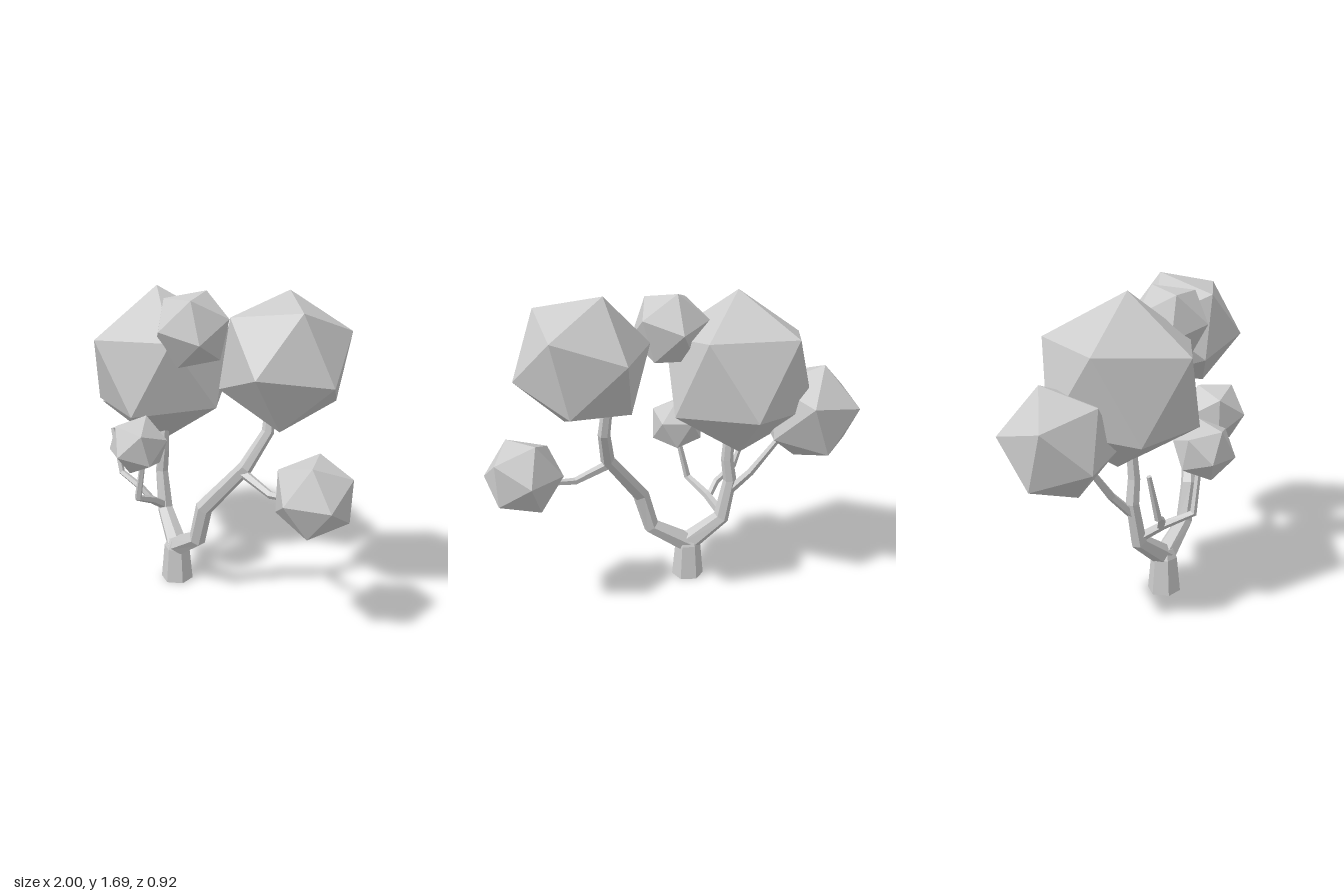
import * as THREE from 'three';

const material = new THREE.MeshStandardMaterial({ color: 0xcccccc, flatShading: true });
const vec = (a) => new THREE.Vector3(...a);

// Faceted leaf ball, turned so that two neighbouring corners point along p and q
function leafBall(name, center, radius, p, q) {
  const a = vec(p).normalize(), b = vec(q).normalize();
  const y = a.clone().add(b).normalize();
  const x = a.clone().sub(b).normalize();
  const basis = new THREE.Matrix4().makeBasis(x, y, x.clone().cross(y));
  const geometry = new THREE.IcosahedronGeometry(radius, 0).applyMatrix4(basis);
  const mesh = new THREE.Mesh(geometry, material);
  mesh.name = name;
  mesh.position.set(...center);
  return mesh;
}

// Tapered, kinked limb: each station is [x, y, z, radius]
function limb(name, stations, sides = 6) {
  const pts = stations.map((s) => vec(s.slice(0, 3)));
  const last = pts.length - 1;
  const positions = [], index = [];
  const side = new THREE.Vector3(), turn = new THREE.Quaternion();
  let previous = null;
  pts.forEach((p, i) => {
    const tangent = new THREE.Vector3();
    if (i > 0) tangent.add(p.clone().sub(pts[i - 1]).normalize());
    if (i < last) tangent.add(pts[i + 1].clone().sub(p).normalize());
    tangent.normalize();
    if (!previous) {
      side.set(0.26, 0, 0.97).projectOnPlane(tangent).normalize();
    } else {
      side.applyQuaternion(turn.setFromUnitVectors(previous, tangent));
    }
    previous = tangent;
    const other = tangent.clone().cross(side);
    for (let j = 0; j < sides; j++) {
      const t = (j / sides) * Math.PI * 2;
      const v = p.clone()
        .addScaledVector(side, Math.cos(t) * stations[i][3])
        .addScaledVector(other, Math.sin(t) * stations[i][3]);
      positions.push(v.x, v.y, v.z);
    }
  });
  const end = last * sides, startCap = end + sides, endCap = startCap + 1;
  positions.push(...pts[0].toArray(), ...pts[last].toArray());
  for (let j = 0; j < sides; j++) {
    const k = (j + 1) % sides;
    for (let i = 0; i < last; i++) {
      const r = i * sides, s = r + sides;
      index.push(r + j, r + k, s + k, r + j, s + k, s + j);
    }
    index.push(startCap, k, j, endCap, end + j, end + k);
  }
  const geometry = new THREE.BufferGeometry();
  geometry.setAttribute('position', new THREE.Float32BufferAttribute(positions, 3));
  geometry.setIndex(index);
  geometry.computeVertexNormals();
  const mesh = new THREE.Mesh(geometry, material);
  mesh.name = name;
  return mesh;
}

export function createModel() {
  const tree = new THREE.Group();
  tree.name = 'tree';

  // Trunk and the two main boughs
  tree.add(
    limb('trunk', [[-0.128, 0, 0.07, 0.092], [-0.128, 0.2, 0.07, 0.073], [-0.125, 0.25, 0.07, 0.05]]),
    limb('leftBough', [
      [-0.13, 0.2, 0.07, 0.062], [0.09, 0.335, 0.085, 0.047], [0.15, 0.54, 0.085, 0.047],
      [0.36, 0.81, -0.02, 0.038], [0.4, 0.99, -0.13, 0.032], [0.385, 1.15, -0.16, 0.028],
    ]),
    limb('rightBough', [
      [-0.12, 0.2, 0.07, 0.062], [-0.315, 0.36, 0.02, 0.047], [-0.36, 0.59, 0.01, 0.038],
      [-0.34, 0.72, 0.01, 0.035], [-0.345, 0.88, 0, 0.03],
    ]),
  );

  // Twigs
  tree.add(
    limb('leftTwig', [
      [0.35, 0.78, -0.01, 0.026], [0.54, 0.715, -0.03, 0.02], [0.68, 0.73, -0.05, 0.014],
    ], 5),
    limb('frontTwig', [
      [-0.32, 0.38, 0.02, 0.028], [-0.27, 0.46, 0.14, 0.024],
      [-0.2, 0.53, 0.28, 0.021], [-0.145, 0.75, 0.28, 0.016],
    ], 5),
    limb('bareTwig', [
      [-0.28, 0.45, 0.13, 0.02], [-0.34, 0.52, 0.17, 0.02],
      [-0.47, 0.59, 0.22, 0.019], [-0.56, 0.84, 0.22, 0.012],
    ], 5),
    limb('rightTwig', [
      [-0.35, 0.52, 0.01, 0.026], [-0.46, 0.65, -0.05, 0.022], [-0.6, 0.86, -0.11, 0.016],
    ], 5),
  );

  // Foliage
  tree.add(
    leafBall('largeRightFoliage', [-0.38, 1.225, -0.025], 0.443, [0, 0.441, 0.04], [-0.06, 0.168, 0.4]),
    leafBall('largeLeftFoliage', [0.495, 1.37, -0.138], 0.347, [-0.086, 0.322, -0.1], [-0.337, 0.075, -0.01]),
    leafBall('outerRightFoliage', [-0.755, 1.005, -0.142], 0.284, [-0.04, 0.27, -0.068], [-0.248, 0.115, 0.082]),
    leafBall('frontFoliage', [-0.14, 0.865, 0.308], 0.165, [0.011, 0.158, -0.05], [0.123, 0.08, 0.06]),
    leafBall('outerLeftFoliage', [0.805, 0.789, -0.056], 0.207, [0.01, 0, 0.205], [0.192, -0.006, 0.082]),
    leafBall('topFoliage', [-0.01, 1.473, 0.043], 0.215, [0.02, 0.02, 1], [0.11, 0.161, 0.09]),
  );
  return tree;
}
